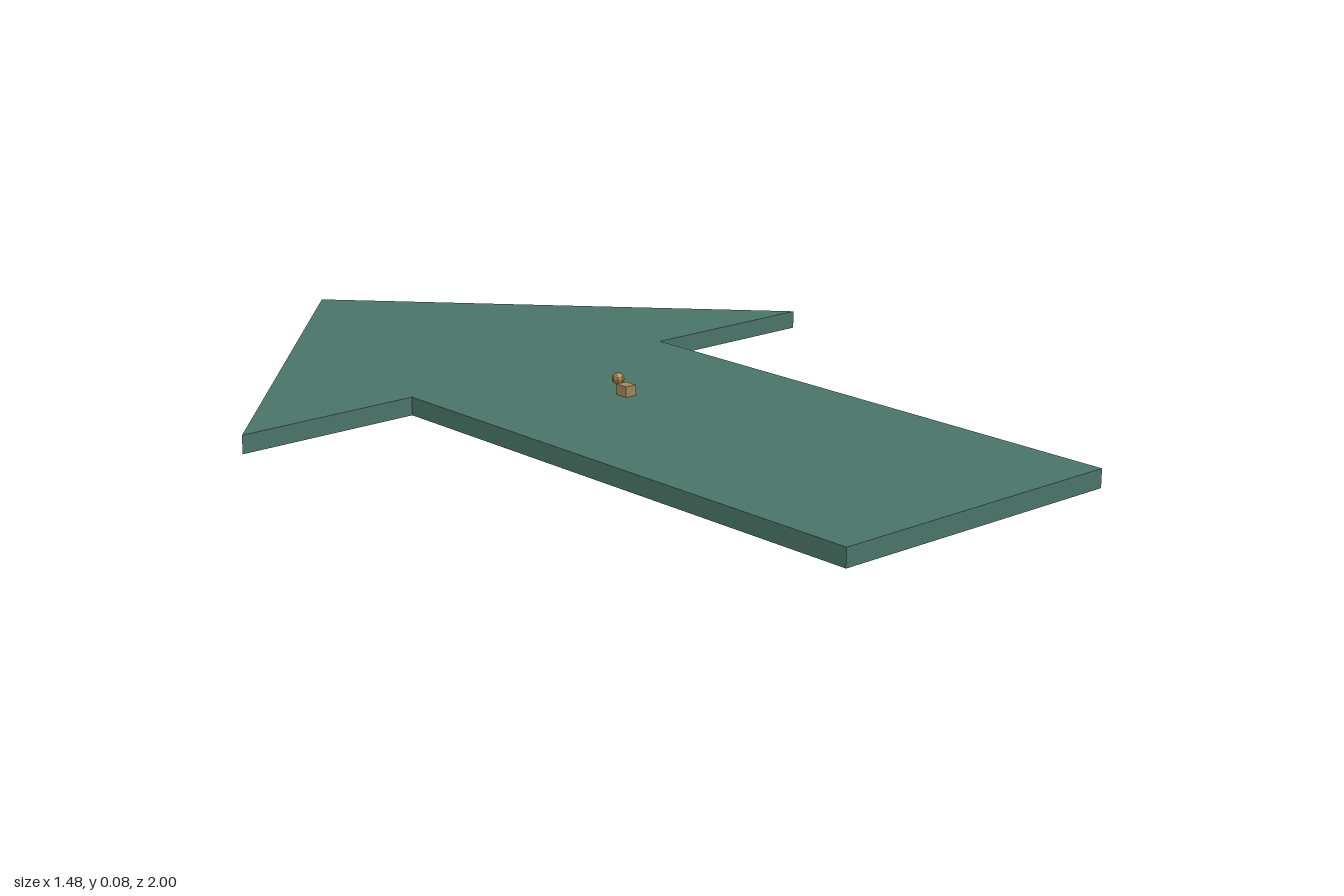
import * as THREE from 'three';

export function createModel() {
  const group = new THREE.Group();
  const green = new THREE.MeshStandardMaterial({ color: 0x4a7468 });
  const tan = new THREE.MeshStandardMaterial({ color: 0xa08458 });
  const brown = new THREE.MeshStandardMaterial({ color: 0x9a7440, flatShading: true });
  const thickness = 0.038;

  // Flat arrow slab pointing to the back: half outline, mirrored
  const half = [[0.335, -1], [0.335, 0.21], [0.74, 0.21]];
  const outline = [...half, [0, 1], ...half.map(([x, y]) => [-x, y]).reverse()];
  const shape = new THREE.Shape(outline.map(([x, y]) => new THREE.Vector2(x, y)));
  const slabGeometry = new THREE.ExtrudeGeometry(shape, { depth: thickness, bevelEnabled: false });
  slabGeometry.rotateX(-Math.PI / 2);
  const slab = new THREE.Mesh(slabGeometry, green);
  slab.name = 'arrowSlab';
  group.add(slab);

  // Tiny block and ball resting on the middle of the slab
  const block = new THREE.Mesh(new THREE.BoxGeometry(0.026, 0.022, 0.03), tan);
  block.name = 'smallBlock';
  block.position.set(0, thickness + 0.011, 0.059);
  group.add(block);

  const ball = new THREE.Mesh(new THREE.SphereGeometry(0.013, 8, 6), brown);
  ball.name = 'smallBall';
  ball.position.set(0, 0.067, 0.035);
  group.add(ball);

  return group;
}
